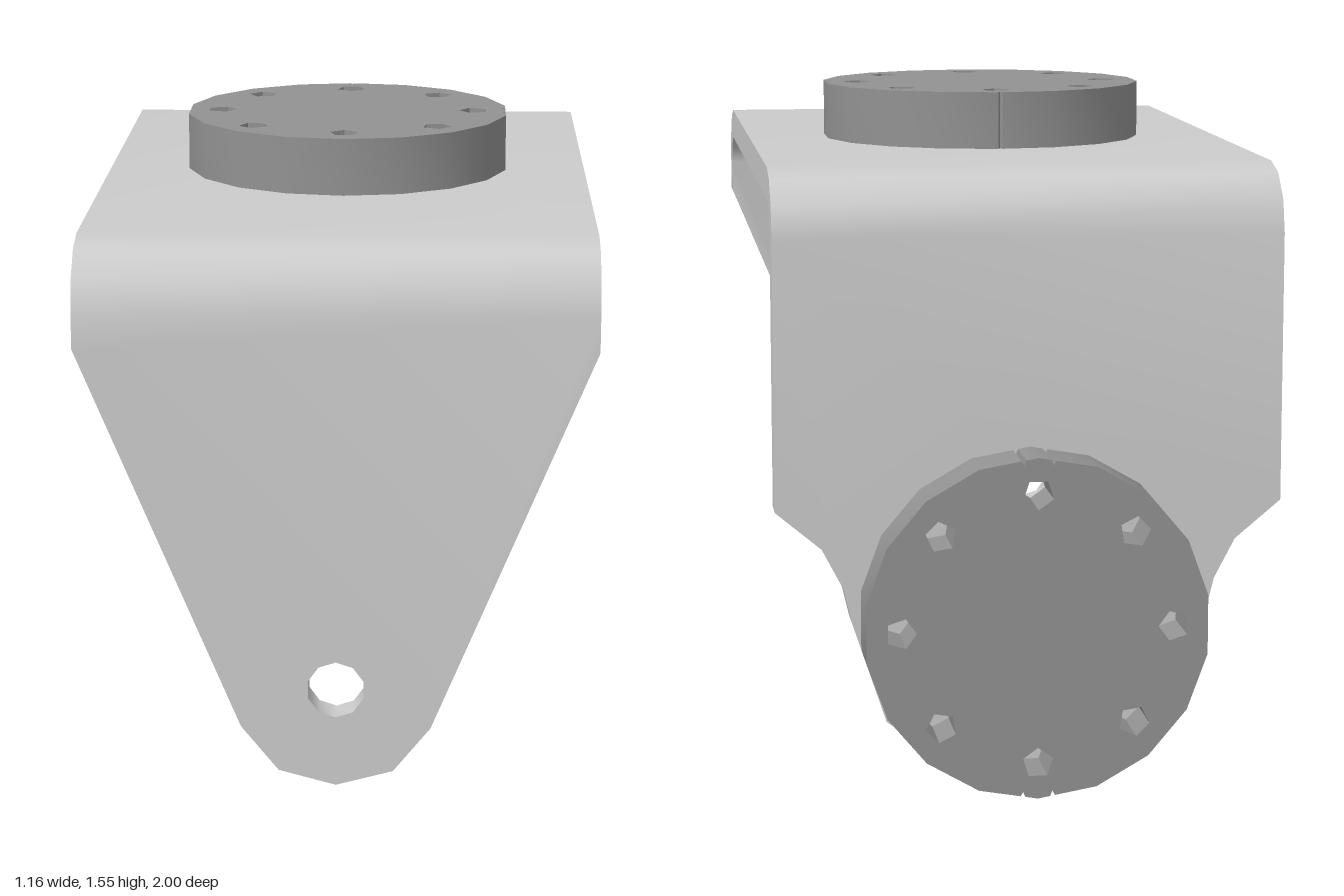
import * as THREE from 'three';
import { mergeGeometries, toCreasedNormals } from 'three/addons/utils/BufferGeometryUtils.js';

const HALF_W = 0.58, T = 0.075; // bracket half width and sheet thickness
const HUB_R = 0.393, HUB_H = 0.135, SIDES = 18;
const BEND_Y = 1.27, PIVOT_Y = 0.4, TOP_Z = 0.035, BOLT_R = 0.31;

const steel = new THREE.MeshStandardMaterial({ color: 0xcccccc });
const dark = new THREE.MeshStandardMaterial({ color: 0x929292 });

const vec = (x, y) => new THREE.Vector2(x, y);
const polar = (r, deg, cx = 0, cy = 0) =>
  vec(cx + r * Math.cos(deg * Math.PI / 180), cy + r * Math.sin(deg * Math.PI / 180));
const ngon = (r, n, cx = 0, cy = 0, start = 90) =>
  Array.from({ length: n }, (_, i) => polar(r, start + i * 360 / n, cx, cy));

// extrude an outline with holes along z, starting at z0
function slab(outline, holes, depth, z0 = 0) {
  const shape = new THREE.Shape(outline);
  holes.forEach(h => shape.holes.push(new THREE.Path(h)));
  const g = new THREE.ExtrudeGeometry(shape, { depth, bevelEnabled: false });
  return g.translate(0, 0, z0);
}

function part(name, geometry, material) {
  const mesh = new THREE.Mesh(toCreasedNormals(geometry, 0.7), material);
  mesh.name = name;
  return mesh;
}

// half outline (right side, top to bottom) mirrored into a closed one
const mirrored = half => [
  ...half.map(([x, y]) => vec(x, y)),
  ...half.filter(([x]) => x > 0).reverse().map(([x, y]) => vec(-x, y)),
];

// quarter bend of the sheet, swept across the width; dir is +1 front, -1 back
function bend(zc, dir) {
  const pts = [];
  for (let a = 0; a <= 90; a += 30) pts.push(polar(2 * T, a));
  for (let a = 90; a >= 0; a -= 30) pts.push(polar(T, a));
  pts.forEach(p => p.set(p.x * dir + zc, p.y + BEND_Y));
  return slab(pts, [], 2 * HALF_W, -HALF_W).rotateY(-Math.PI / 2);
}

function makeBracket() {
  const front = slab(mirrored([
    [HALF_W, BEND_Y], [HALF_W, 1.19], [0.215, 0.31], [0.13, 0.205], [0, 0.17],
  ]), [ngon(0.066, 10, 0, PIVOT_Y)], T, 1 - T);

  const back = slab(mirrored([
    [HALF_W, BEND_Y], [HALF_W, 0.655], [0.475, 0.567], [0.427, 0.475],
    [0.408, 0.395], [0.33, 0.16], [0.125, 0.012],
  ]), [ngon(0.17, 18, 0, PIVOT_Y), ngon(0.042, 10, 0, PIVOT_Y + BOLT_R)], T, -0.865);

  const top = slab(
    [vec(-HALF_W, -0.85), vec(HALF_W, -0.85), vec(HALF_W, 0.715), vec(-HALF_W, 0.715)],
    [ngon(0.17, 18, 0, -TOP_Z), ngon(0.042, 10, 0, -TOP_Z - BOLT_R)], T, BEND_Y + T,
  ).rotateX(-Math.PI / 2);

  return part('bracket', mergeGeometries([front, back, top, bend(0.85, 1), bend(-0.715, -1)]), steel);
}

// faceted disc outline with fine index notches cut in the rim
function rimOutline(notches) {
  const step = 360 / SIDES, rad = Math.PI / 180;
  const edgeR = a => {
    const off = (((a - 90) % step) + step) % step - step / 2;
    return HUB_R * Math.cos(step / 2 * rad) / Math.cos(off * rad);
  };
  const pts = [];
  for (let i = 0; i < SIDES; i++) {
    const a = step / 2 + i * step;
    if (!notches.includes(a)) pts.push([a, edgeR(a)]);
  }
  for (const a of notches) {
    pts.push([a - 0.8, edgeR(a - 0.8)], [a, edgeR(a) - 0.012], [a + 0.8, edgeR(a + 0.8)]);
  }
  return pts.sort((p, q) => p[0] - q[0]).map(([a, r]) => polar(r, a));
}

// servo horn: drilled disc, boss in the bracket hole, cross-head screw; outer face is +z
function makeHub(name, notches) {
  const hub = new THREE.Group();
  hub.name = name;
  const holes = Array.from({ length: 8 }, (_, i) => {
    const c = polar(BOLT_R, i * 45);
    return ngon(0.036, 5, c.x, c.y, i * 45 + 180);
  });
  hub.add(part('hornDisc', slab(rimOutline(notches), holes, HUB_H), dark));
  hub.add(part('boss', slab(ngon(0.157, SIDES), [ngon(0.125, SIDES)], 0.055, -0.055), dark));

  const cross = [];
  for (let i = 0; i < 4; i++) {
    const spin = p => p.rotateAround(vec(0, 0), i * Math.PI / 2);
    cross.push(spin(vec(0.065, -0.013)), spin(vec(0.065, 0.013)), spin(vec(0.015, 0.015)));
  }
  hub.add(part('screwHead', slab(ngon(0.12, SIDES), [cross], 0.045, -0.045), steel));
  return hub;
}

export function createModel() {
  const model = new THREE.Group();
  model.name = 'servoBracket';
  model.add(makeBracket());

  const topHub = makeHub('topHub', [-5, 5, 90]);
  topHub.rotation.x = -Math.PI / 2;
  topHub.position.set(0, BEND_Y + 2 * T, TOP_Z);

  const backHub = makeHub('backHub', [85, 95, 265, 275]);
  backHub.rotation.y = Math.PI;
  backHub.position.set(0, PIVOT_Y, -0.865);

  model.add(topHub, backHub);
  return model;
}
